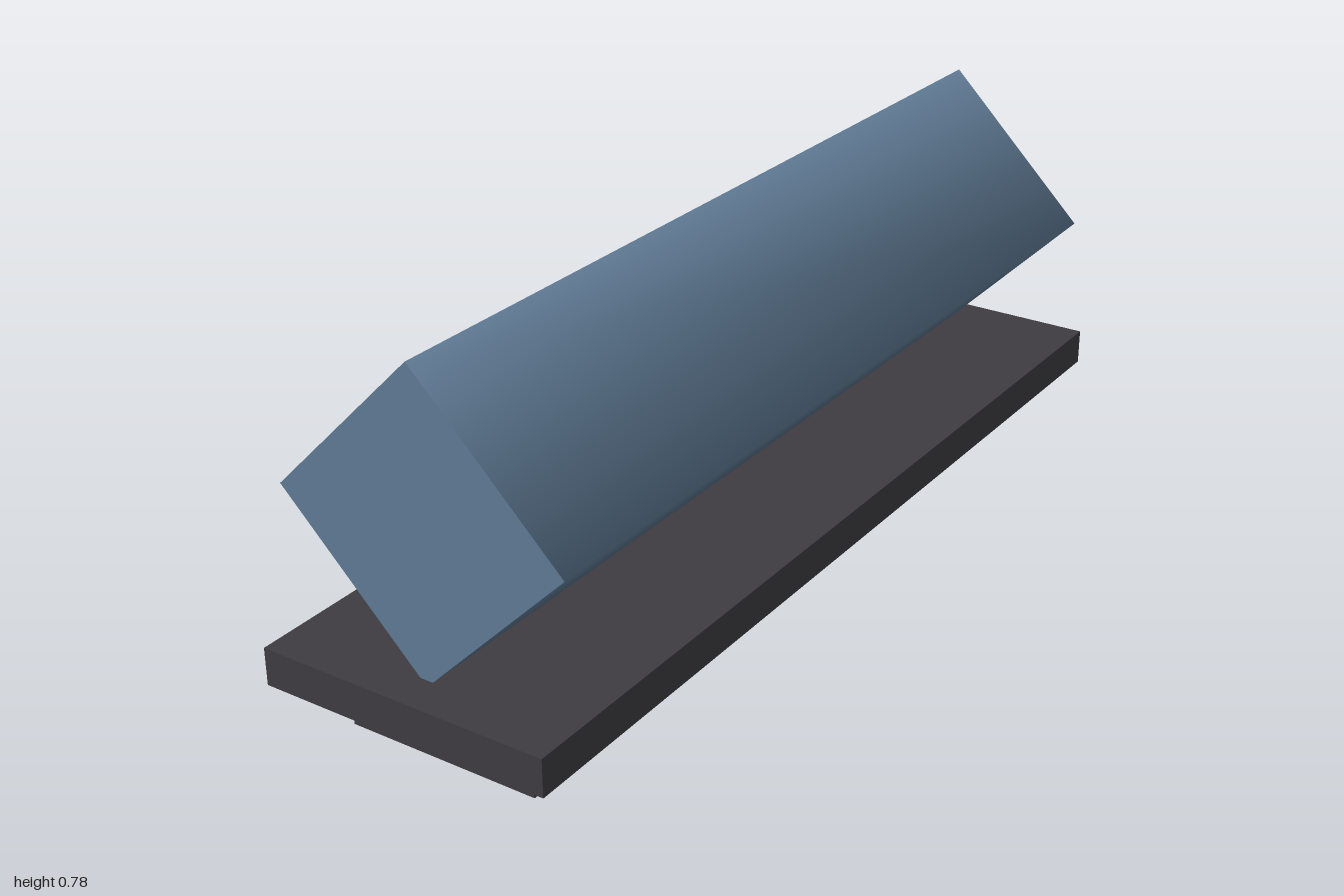
import * as THREE from 'three';

export function createModel() {
  const model = new THREE.Group();
  const blue = new THREE.MeshStandardMaterial({ name: 'steel blue', color: 0x5f7a94 });
  const dark = new THREE.MeshStandardMaterial({ name: 'dark grey', color: 0x3e3c41 });
  const teal = new THREE.MeshStandardMaterial({ name: 'pale teal', color: 0x7fbccb });

  function add(name, geometry, material, y) {
    const mesh = new THREE.Mesh(geometry, material);
    mesh.name = name;
    mesh.position.y = y;
    model.add(mesh);
  }

  // Four-sided, smooth-shaded body lying along z, its lower edge sunk into the plate
  add('body', new THREE.CylinderGeometry(0.3, 0.3, 1.85, 4).rotateX(Math.PI / 2), blue, 0.475);

  // Wide upper plate and narrower lower plate, with a gap between them
  add('upperPlate', new THREE.BoxGeometry(0.6, 0.075, 2), dark, 0.151);
  add('lowerPlate', new THREE.BoxGeometry(0.4, 0.075, 1.8), dark, 0.051);

  // Panel set into the underside
  add('bottomPanel', new THREE.BoxGeometry(0.3, 0.025, 1.7), teal, 0.0125);

  return model;
}
